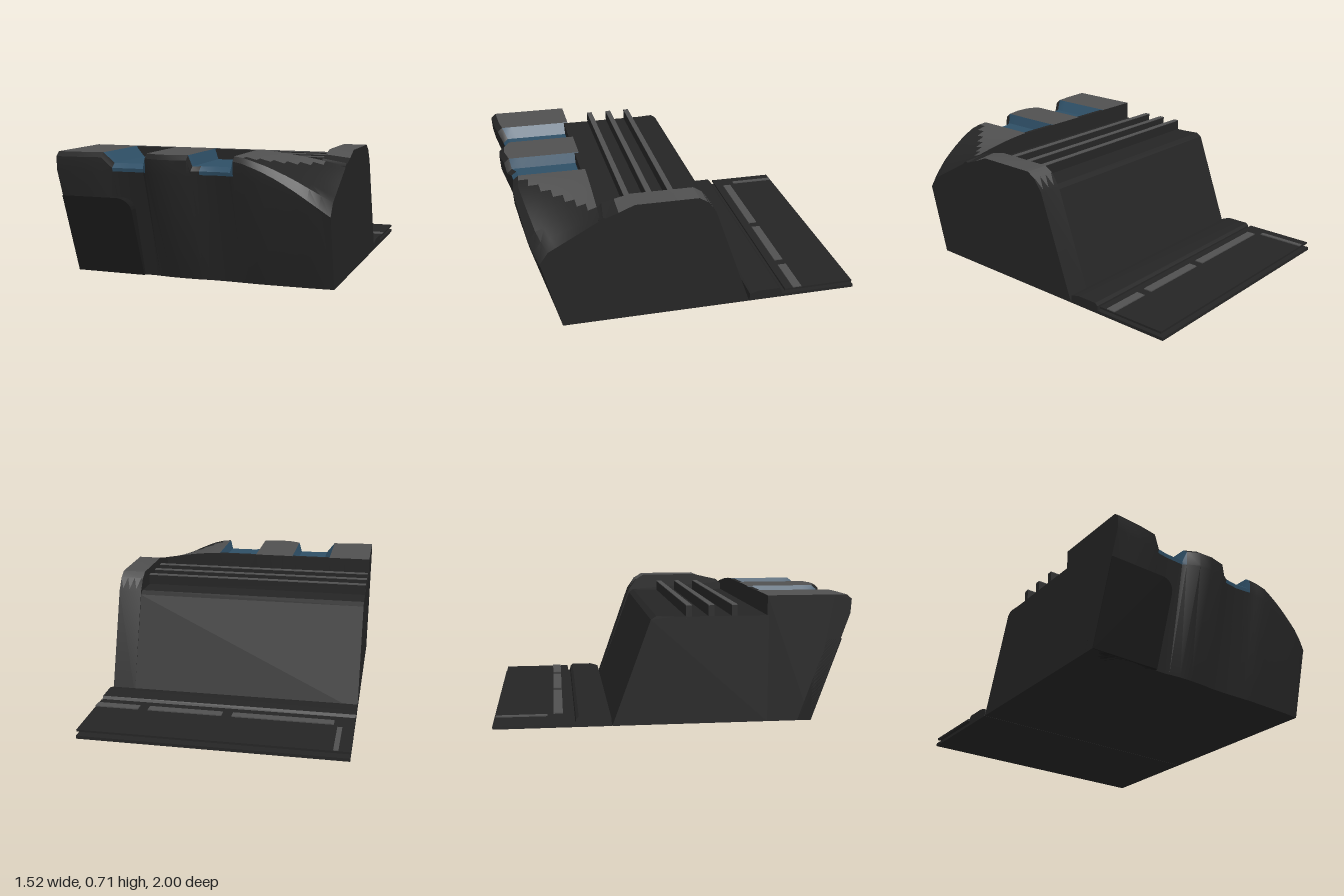
import * as THREE from 'three';
import { toCreasedNormals } from 'three/addons/utils/BufferGeometryUtils.js';

const mat = (name, color) => {
  const m = new THREE.MeshStandardMaterial({ color });
  m.name = name;
  return m;
};

// Piecewise-linear lookup in a list of [x, value]
function lerpTable(table, x) {
  for (let i = 1; i < table.length; i++) {
    const [x0, v0] = table[i - 1], [x1, v1] = table[i];
    if (x <= x1) return v0 + (v1 - v0) * Math.max(0, (x - x0) / (x1 - x0));
  }
  return table[table.length - 1][1];
}

// Closed solid through (z, y) profiles set along x; pick(i, x, z, y) gives the material index of a cell
function loft(xs, profile, pick = () => 0) {
  const buckets = {};
  const add = (m, ...pts) => (buckets[m] ??= []).push(...pts.flat());
  const rings = xs.map((x) => profile(x).map(([z, y]) => [x, y, z]));
  const n = rings[0].length;
  for (let k = 0; k < rings.length - 1; k++) {
    for (let i = 0; i < n; i++) {
      const j = (i + 1) % n;
      const a = rings[k][i], b = rings[k][j], c = rings[k + 1][i], d = rings[k + 1][j];
      const mid = (q) => (a[q] + b[q] + c[q] + d[q]) / 4;
      add(pick(i, mid(0), mid(2), mid(1)), a, b, d, a, d, c);
    }
  }
  // end caps
  [[rings[0], 1], [rings[rings.length - 1], -1]].forEach(([ring, side]) => {
    const flat = ring.map((p) => new THREE.Vector2(p[2], p[1]));
    for (const t of THREE.ShapeUtils.triangulateShape(flat, [])) {
      const [a, b, c] = t.map((q) => flat[q]);
      const area = (b.x - a.x) * (c.y - a.y) - (b.y - a.y) * (c.x - a.x);
      const [p, q, r] = t.map((v) => ring[v]);
      if (area * side > 0) add(0, p, q, r);
      else add(0, p, r, q);
    }
  });
  const geo = new THREE.BufferGeometry();
  const all = [];
  for (const m of Object.keys(buckets)) {
    geo.addGroup(all.length / 3, buckets[m].length / 3, Number(m));
    for (const v of buckets[m]) all.push(v);
  }
  geo.setAttribute('position', new THREE.Float32BufferAttribute(all, 3));
  return toCreasedNormals(geo, 0.5);
}

export function createModel() {
  const model = new THREE.Group();
  const dark = mat('dark rock', 0x252525);
  const grey = mat('grey top', 0x505050);
  const blue = mat('blue channel', 0x2e4f66);
  const black = mat('dark panel', 0x1c1c1c);
  const palette = [dark, grey, blue];
  const add = (name, geo, material) => {
    const mesh = new THREE.Mesh(geo, material);
    mesh.name = name;
    model.add(mesh);
    return mesh;
  };
  const box = (name, x0, x1, y0, y1, z0, z1, material) => {
    const mesh = add(name, new THREE.BoxGeometry(x1 - x0, y1 - y0, z1 - z0), material);
    mesh.position.set((x0 + x1) / 2, (y0 + y1) / 2, (z0 + z1) / 2);
  };
  const L = -0.765, R = 0.76, TOP = 0.715;

  // Wavy front edge, channel depth and how far the corner falls away
  const edge = [[L, 1], [-0.6, 0.99], [-0.5, 0.975], [-0.44, 0.94], [-0.35, 0.935], [-0.28, 0.925], [-0.25, 0.95],
    [-0.18, 0.985], [-0.1, 0.99], [0, 0.97], [0.06, 0.935], [0.15, 0.925], [0.24, 0.935], [0.35, 0.95],
    [0.5, 0.93], [0.67, 0.9], [R, 0.86]];
  const height = [[L, TOP], [-0.5, TOP], [-0.45, 0.655], [-0.27, 0.655], [-0.25, TOP],
    [0, TOP], [0.02, 0.655], [0.235, 0.655], [0.25, TOP], [R, TOP]];
  const fall = (x) => Math.max(0, (x - 0.25) / 0.51) ** 1.5;

  // Front block with the two channels running over it
  const STEPS = 7;
  const xs = [L, -0.68, -0.6, -0.5, -0.45, -0.4, -0.35, -0.27, -0.25, -0.18, -0.1, 0, 0.02, 0.06, 0.15, 0.235, 0.25];
  for (let x = 0.3; x < 0.75; x += 0.0575) xs.push(x);
  xs.push(R);
  const frontProfile = (x) => {
    const t = fall(x), z = lerpTable(edge, x), h = lerpTable(height, x);
    const pts = [[0.52, 0]];
    for (let s = 0; s <= STEPS; s++) {
      const u = s / STEPS;
      pts.push([0.52 + u * (z - 0.55 - 0.02 * t), h - t * (0.075 + 0.16 * u)]);
    }
    pts.push([z, h - 0.025 - 0.28 * t], [z - 0.005, 0.61 - 0.21 * t], [0.78 + 0.2 * (z - 1), 0]);
    return pts;
  };
  const frontPick = (i, x, z) => {
    if (i < 1 || i > STEPS + 3) return 0;
    const onTop = i <= STEPS;
    const inChannel = (x > -0.45 && x < -0.25) || (x > 0.05 && x < 0.25);
    const onWall = (x > -0.5 && x < -0.25) || (x > 0 && x < 0.25);
    if (inChannel || (onTop && onWall)) return i === STEPS + 3 ? 0 : 2;
    return onTop && z < 1.14 - Math.max(0, x - 0.1) * 1.15 ? 1 : 0;
  };
  add('frontBlock', loft(xs, frontProfile, frontPick), palette);

  // Low lip closing the channels at the back
  box('channelLipRight', -0.5, -0.25, 0.5, 0.712, 0.52, 0.545, dark);
  box('channelLipLeft', 0, 0.25, 0.5, 0.712, 0.52, 0.545, dark);

  // Sloping body behind the block, with three ridges
  add('rearBody', loft([L, 0.625], () => [[-0.345, 0], [-0.13, 0.59], [-0.1, 0.61], [0, 0.605], [0.53, 0.605], [0.53, 0]]), [dark]);
  for (const z of [0.08, 0.205, 0.335]) {
    box('ridge', L, 0.62, 0.59, 0.665, z - 0.016, z + 0.016, dark);
    box('ridgeTop', L, 0.62, 0.665, 0.669, z - 0.016, z + 0.016, grey);
  }

  // Raised end wall
  const wallProfile = (x) => [[-0.345, 0], [-0.13, 0.61], [-0.08, 0.68], [-0.03, TOP - 0.004], [0.33, TOP - 0.003],
    [0.42, TOP - 0.04 * fall(x)], [0.49, TOP - 0.065 * fall(x)], [0.505, 0.655], [0.53, 0.64], [0.53, 0]];
  add('endWall', loft([0.62, R], wallProfile, (i) => (i >= 2 && i <= 4 ? 1 : 0)), palette);
  // Pointed grey edge of the end wall
  const teeth = new THREE.Shape();
  teeth.moveTo(0.63, 0);
  for (let k = 0; k < 3; k++) {
    const x = 0.63 + k * 0.043;
    teeth.lineTo(x + 0.022, -0.075);
    teeth.lineTo(x + 0.043, 0);
  }
  const points = add('endWallTeeth', new THREE.ShapeGeometry(teeth), grey);
  points.position.set(0, 0.683, -0.081);
  points.rotation.x = -Math.PI / 2 + 0.95;
  points.scale.y = -1;
  points.material = grey;
  points.geometry.scale(1, -1, 1);
  points.scale.y = 1;
  points.rotation.x = Math.PI / 2 - 0.95;
  points.geometry.scale(1, -1, 1);
  points.geometry.index.array.reverse();

  // Flush panel on the sloping front
  const panel = new THREE.Shape();
  panel.moveTo(L, 0);
  panel.lineTo(-0.345, 0);
  panel.lineTo(-0.348, 0.4);
  panel.quadraticCurveTo(-0.355, 0.455, -0.42, 0.465);
  panel.lineTo(L, 0.465);
  const panelGeo = new THREE.ExtrudeGeometry(panel, { depth: 0.08, bevelEnabled: false, curveSegments: 6 });
  const p = panelGeo.attributes.position;
  for (let i = 0; i < p.count; i++) p.setZ(i, p.getZ(i) + 0.704 + 0.358 * p.getY(i));
  panelGeo.computeVertexNormals();
  add('frontPanel', panelGeo, black);

  // Kerb and the layered plate at the back
  add('kerb', loft([L, R], () => [[-0.55, 0], [-0.545, 0.045], [-0.53, 0.06], [-0.4, 0.06], [-0.35, 0.045], [-0.347, 0]]), [dark]);
  box('lowerPlate', L, R, 0, 0.018, -1, -0.54, dark);
  box('upperPlate', L, R, 0.038, 0.05, -0.988, -0.565, dark);
  // Grey strips on the plate, broken by two gaps
  for (const [x0, x1] of [[-0.65, -0.06], [0.0, 0.44], [0.5, R]]) box('plateStrip', x0, x1, 0.05, 0.056, -0.668, -0.615, grey);
  box('plateSideStrip', -0.7, -0.672, 0.05, 0.056, -0.985, -0.7, grey);

  return model;
}
